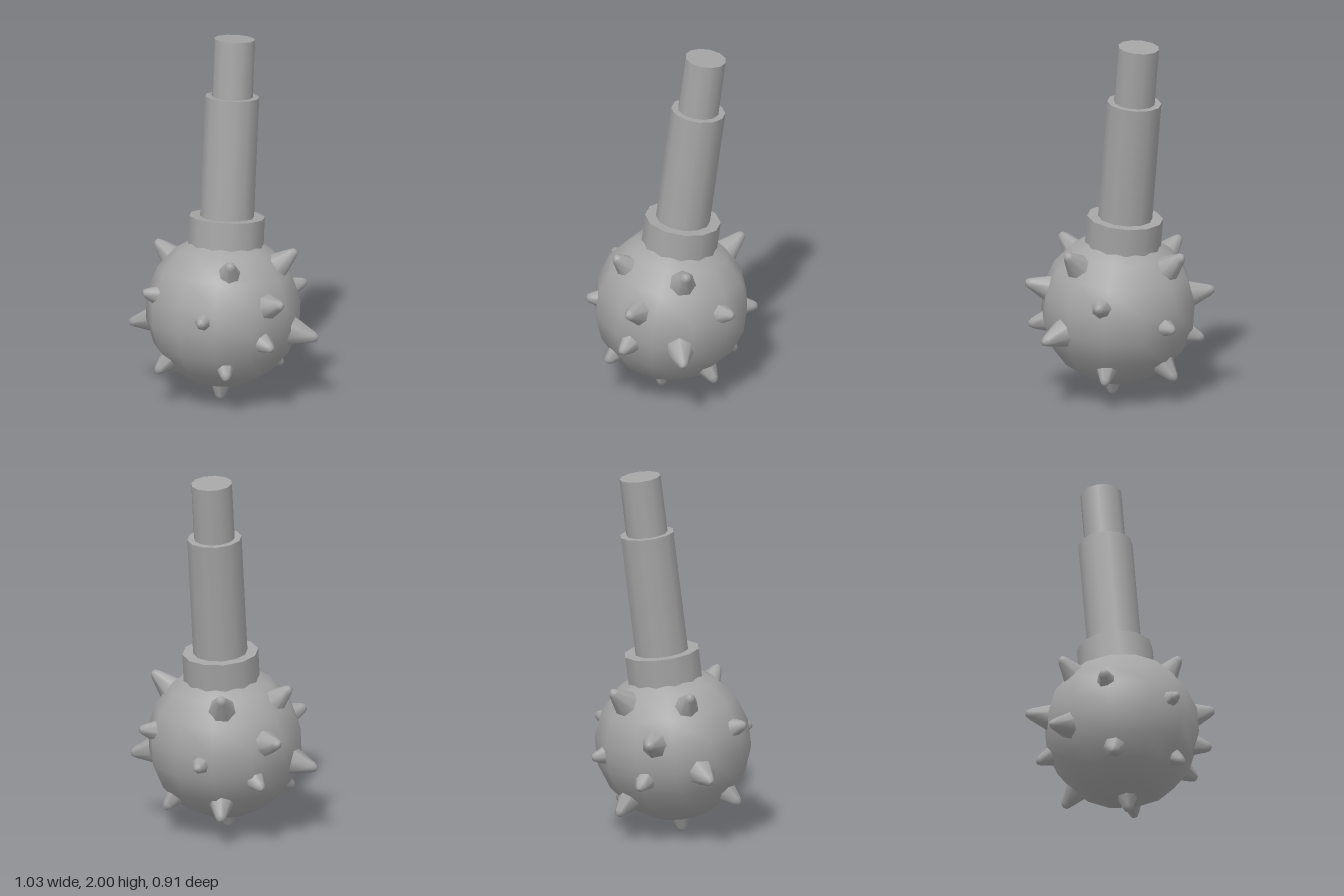
import * as THREE from 'three';

const UP = new THREE.Vector3(0, 1, 0);

export function createModel() {
  const model = new THREE.Group();
  model.name = 'spikedMace';
  const steel = new THREE.MeshStandardMaterial({ color: 0xa5a5a5 });
  steel.name = 'grey steel';

  // Everything is placed around the centre of the ball
  const mace = new THREE.Group();
  mace.name = 'mace';
  mace.position.set(0.005, 0.5, 0.015);
  model.add(mace);

  // Tilted axis shared by ball and handle
  const tilted = new THREE.Group();
  tilted.name = 'ballAndHandle';
  tilted.quaternion.setFromUnitVectors(UP, new THREE.Vector3(-0.1, 1.485, -0.16).normalize());
  mace.add(tilted);

  const ball = new THREE.Mesh(new THREE.SphereGeometry(0.425, 12, 9), steel);
  ball.name = 'ball';
  ball.rotation.y = Math.PI / 12;
  tilted.add(ball);

  // Stepped handle: name, radius, start and end along the axis, turn
  const steps = [
    ['collar', 0.207, 0.3, 0.515, 0],
    ['shaft', 0.148, 0.45, 1.178, 0],
    ['grip', 0.112, 1.1, 1.496, Math.PI / 12],
  ];
  for (const [name, radius, from, to, turn] of steps) {
    const part = new THREE.Mesh(new THREE.CylinderGeometry(radius, radius, to - from, 12), steel);
    part.name = name;
    part.position.y = (from + to) / 2;
    part.rotation.y = turn;
    tilted.add(part);
  }

  // Blunt six-sided spike with its tip at the origin, pointing up
  const profile = [[0.084, -0.16], [0.03, -0.025], [0.018, -0.005], [0, 0]];
  const spikeGeometry = new THREE.LatheGeometry(profile.map(([x, y]) => new THREE.Vector2(x, y)), 7);

  // Spike tips relative to the ball centre
  const tips = [
    // upper ring
    [0.305, 0.36, -0.265], [0.3, 0.37, 0.185], [-0.355, 0.34, 0.185], [-0.335, 0.34, -0.265],
    // middle band
    [0.505, 0.15, -0.01], [-0.525, 0.09, -0.01], [-0.145, 0.15, 0.44], [0.145, 0.1, -0.465],
    [0.27, 0.06, 0.375], [-0.275, -0.05, -0.385],
    [-0.42, -0.12, 0.315], [0.435, -0.12, -0.315], [0.485, -0.1, 0.045], [-0.46, -0.17, -0.08],
    // lower ring and bottom
    [-0.09, -0.305, 0.395], [0.315, -0.28, 0.23], [0.1, -0.36, -0.33], [-0.295, -0.36, -0.24],
    [0.03, -0.499, 0.045],
  ];
  const spikes = new THREE.Group();
  spikes.name = 'spikes';
  mace.add(spikes);
  for (const tip of tips) {
    const spike = new THREE.Mesh(spikeGeometry, steel);
    spike.name = 'spike';
    spike.position.set(...tip);
    spike.quaternion.setFromUnitVectors(UP, spike.position.clone().normalize());
    spikes.add(spike);
  }

  return model;
}
